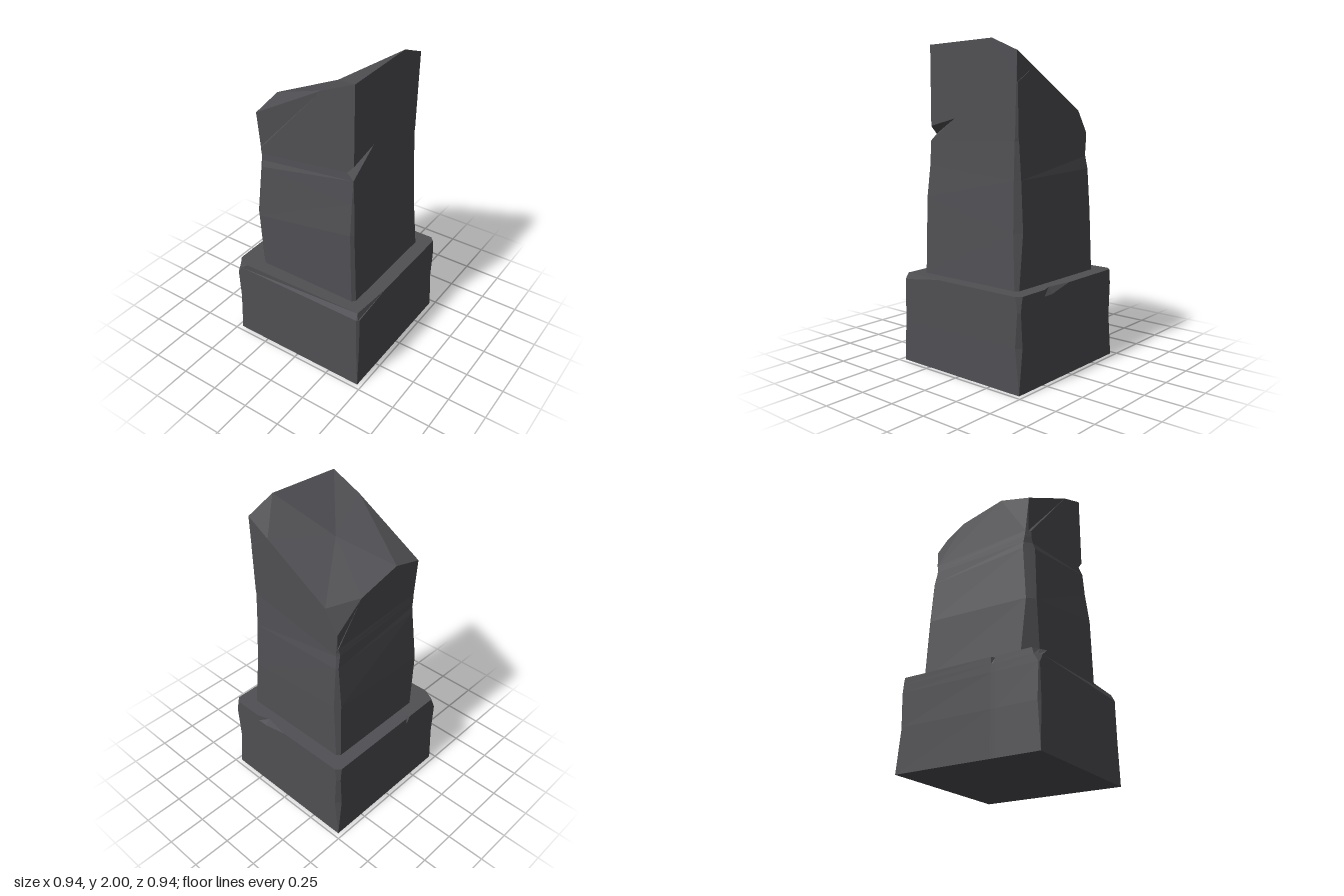
import * as THREE from 'three';

const V = (x, y, z) => new THREE.Vector3(x, y, z);

// Twelve-point loop: three points per corner, in the order
// front left side, front right side, back right, back left (seen from the front).
// ys = corner heights, cuts = chamfer size of each corner.
function ring(ys, x0, x1, z0, z1, cuts) {
  const corners = [[x0, z1, 0, -1, 1, 0], [x1, z1, -1, 0, 0, -1], [x1, z0, 0, 1, -1, 0], [x0, z0, 1, 0, 0, 1]];
  return corners.flatMap(([x, z, ax, az, bx, bz], i) => {
    const c = cuts[i], y = Array.isArray(ys) ? ys[i] : ys;
    const a = V(x + ax * c, y, z + az * c), b = V(x + bx * c, y, z + bz * c);
    return [a, a.clone().lerp(b, 0.5), b];
  });
}

// Skins a stack of loops, then closes both ends with fans.
function loft(rings, topCentre, cornerFacets) {
  const pos = [], ab = V(0, 0, 0), ac = V(0, 0, 0);
  const tri = (a, b, c) => {
    ab.subVectors(b, a); ac.subVectors(c, a);
    if (ab.cross(ac).length() > 1e-7) for (const p of [a, b, c]) pos.push(p.x, p.y, p.z);
  };
  const n = rings[0].length;
  for (let k = 0; k + 1 < rings.length; k++) {
    const l = rings[k], u = rings[k + 1];
    for (let i = 0; i < n; i++) {
      const j = (i + 1) % n;
      tri(l[i], l[j], u[j]);
      tri(l[i], u[j], u[i]);
    }
  }
  let top = rings[rings.length - 1];
  if (cornerFacets) {
    for (let i = 0; i < n; i += 3) tri(top[i], top[i + 1], top[i + 2]);
    top = top.filter((p, i) => i % 3 !== 1);
  }
  top.forEach((p, i) => tri(topCentre, p, top[(i + 1) % top.length]));
  const floor = rings[0], mid = V(0, floor[0].y, 0);
  floor.forEach((p, i) => tri(mid, floor[(i + 1) % n], p));
  const g = new THREE.BufferGeometry();
  g.setAttribute('position', new THREE.Float32BufferAttribute(pos, 3));
  g.computeVertexNormals();
  return g;
}

function plinthGeometry() {
  const H = 0.57, S = 0.47;
  // adds the points of the small chips on the back and left rims
  const chips = (r, y, backDepth, leftDepth) => [
    ...r.slice(0, 9),
    V(0.24, y, -S), V(0.17, y, -S + backDepth), V(0, y, -S),
    ...r.slice(9),
    V(-S, y, 0.165), V(-S + leftDepth, y, 0.18), V(-S, y, 0.195),
  ];
  const level = (y, cuts) => chips(ring(y, -S, S, -S, S, cuts), y, 0, 0);
  const top = ring(H, -S, S, -S, S, [0.06, 0.02, 0.03, 0.03]);
  top[0].z = 0.425; top[2].x = -0.385;           // broken front corner
  top[1].lerpVectors(top[0], top[2], 0.5);
  top[3].set(0.45, H, 0.45); top[4].set(0.45, H, 0.45); top[5].set(S, H, 0.17);
  return loft([
    level(0, [0, 0, 0, 0]),
    level(0.27, [0.015, 0.012, 0.03, 0.03]),
    level(0.48, [0.006, 0.015, 0.015, 0.02]),
    level(0.53, [0.034, 0.015, 0.022, 0.025]),
    chips(top, H, 0.025, 0.02),
  ], V(0, H, 0), false);
}

function shaftGeometry() {
  // deep notch in the front right edge
  const notch = ring([1.36, 1.44, 1.44, 1.32], -0.345, 0.34, -0.345, 0.34, [0.03, 0, 0.015, 0.015]);
  notch[3].set(0.295, 1.44, 0.34);
  notch[4].set(0.3175, 1.49, 0.24);
  notch[5].set(0.34, 1.54, 0.14);
  // slanted broken top
  const brokenTop = [
    V(-0.34, 1.675, 0.14), V(-0.34, 1.625, 0.34), V(0.13, 1.89, 0.34),
    V(0.34, 1.98, 0.34), V(0.34, 1.98, 0.34), V(0.34, 1.98, 0.34),
    V(0.34, 2.0, -0.16), V(0.34, 1.926, -0.345), V(0.19, 1.84, -0.345),
    V(-0.25, 1.585, -0.345), V(-0.34, 1.445, -0.345), V(-0.34, 1.60, -0.15),
  ];
  return loft([
    ring(0.57, -0.385, 0.38, -0.38, 0.38, [0.08, 0.02, 0.02, 0.02]),
    ring([0.93, 1.05, 0.9, 0.95], -0.374, 0.362, -0.376, 0.378, [0.045, 0.018, 0.04, 0.03]),
    ring([1.28, 1.25, 1.2, 1.22], -0.352, 0.348, -0.358, 0.355, [0.052, 0.01, 0.03, 0.012]),
    ring([1.32, 1.40, 1.42, 1.30], -0.347, 0.34, -0.345, 0.343, [0.04, 0, 0.018, 0.015]),
    notch,
    ring([1.40, 1.49, 1.75, 1.35], -0.342, 0.34, -0.345, 0.34, [0.025, 0, 0.006, 0.008]),
    brokenTop,
  ], V(0, 1.79, 0), true);
}

export function createModel() {
  const stone = new THREE.MeshStandardMaterial({ color: 0x504f53 });
  stone.name = 'darkStone';
  stone.flatShading = true;
  const group = new THREE.Group();
  group.name = 'brokenPillar';
  const add = (name, geometry) => {
    const mesh = new THREE.Mesh(geometry, stone);
    mesh.name = name;
    group.add(mesh);
  };
  add('plinth', plinthGeometry());
  add('shaft', shaftGeometry());
  return group;
}
